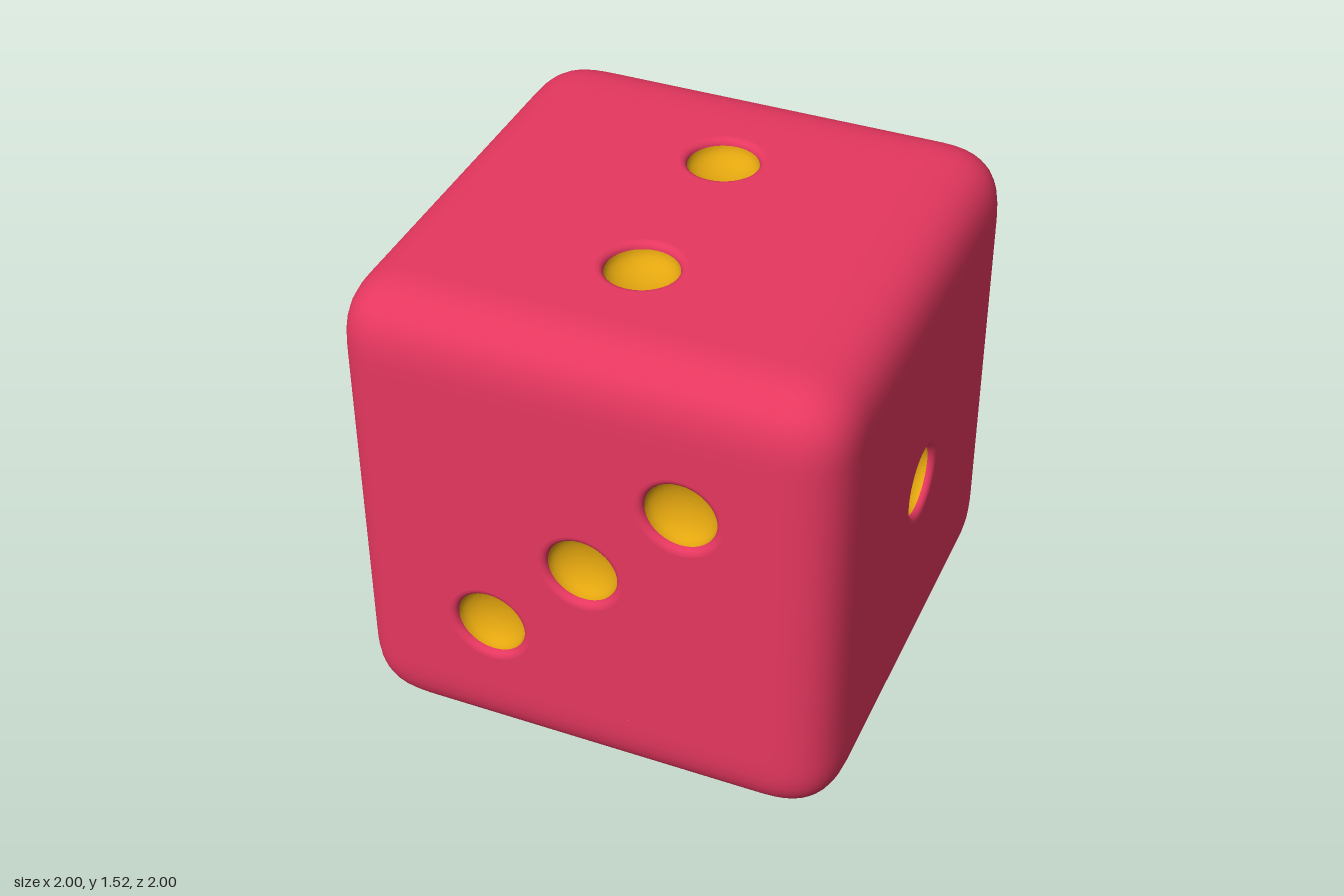
import * as THREE from 'three';

const HALF = 0.76;      // half the edge of the cube
const ROUND = 0.24;     // width of the soft edge
const POWER = 3;        // softness of the edge curve
const FLAT = HALF - ROUND;
const S = 0.3;          // pip spacing
const LIP = 0.13, PIP = 0.108, LIP_DEPTH = 0.02, PIP_DEPTH = 0.08;

const red = new THREE.MeshStandardMaterial({ color: 0xe6375f });
const gold = new THREE.MeshStandardMaterial({ color: 0xe3a60f });

// Rounded edges and corners, left open where the flat face panels sit
function softShell() {
  const g = new THREE.BoxGeometry(2 * HALF, 2 * HALF, 2 * HALF, 38, 38, 38);
  const pos = g.attributes.position, nor = g.attributes.normal;
  const index = [], src = g.index.array;
  const v = new THREE.Vector3();
  const isFlat = i => {
    v.fromBufferAttribute(pos, i);
    return [v.x, v.y, v.z].filter(c => Math.abs(c) > FLAT + 0.001).length < 2;
  };
  for (let i = 0; i < src.length; i += 3) {
    const tri = [src[i], src[i + 1], src[i + 2]];
    if (!tri.every(isFlat)) index.push(...tri);
  }
  for (let i = 0; i < pos.count; i++) {
    const p = [pos.getX(i), pos.getY(i), pos.getZ(i)];
    const inner = p.map(c => THREE.MathUtils.clamp(c, -FLAT, FLAT));
    const d = p.map((c, k) => c - inner[k]);
    const len = Math.pow(d.reduce((s, c) => s + Math.pow(Math.abs(c), POWER), 0), 1 / POWER);
    const q = d.map((c, k) => inner[k] + c * ROUND / len);
    pos.setXYZ(i, q[0], q[1], q[2]);
    v.set(...d.map(c => Math.sign(c) * Math.pow(Math.abs(c), POWER - 1))).normalize();
    nor.setXYZ(i, v.x, v.y, v.z);
  }
  g.setIndex(index);
  return g;
}

// Flat square with a round opening for every pip
function panelGeometry(pips) {
  const shape = new THREE.Shape();
  shape.moveTo(-FLAT, -FLAT).lineTo(FLAT, -FLAT).lineTo(FLAT, FLAT).lineTo(-FLAT, FLAT).closePath();
  for (const [x, y] of pips) {
    shape.holes.push(new THREE.Path().absarc(x, y, LIP, 0, Math.PI * 2, true));
  }
  return new THREE.ShapeGeometry(shape, 20);
}

// Rolled lip running down from the face to the pip
function lipGeometry() {
  const pts = [];
  for (let i = 0; i <= 5; i++) {
    const a = i / 5 * Math.PI / 2;
    pts.push(new THREE.Vector2(LIP - (LIP - PIP) * Math.sin(a), -LIP_DEPTH * (1 - Math.cos(a))));
  }
  return new THREE.LatheGeometry(pts, 40).rotateX(Math.PI / 2);
}

// Concave pip bowl
function bowlGeometry() {
  const pts = [];
  for (let i = 0; i <= 10; i++) {
    const a = i / 10 * Math.PI / 2;
    pts.push(new THREE.Vector2(PIP * Math.cos(a), -LIP_DEPTH - (PIP_DEPTH - LIP_DEPTH) * Math.sin(a)));
  }
  return new THREE.LatheGeometry(pts, 40).rotateX(Math.PI / 2);
}

function addMesh(parent, name, geometry, material) {
  const mesh = new THREE.Mesh(geometry, material);
  mesh.name = name;
  parent.add(mesh);
  return mesh;
}

export function createModel() {
  const model = new THREE.Group();
  model.name = 'die';
  addMesh(model, 'roundedEdges', softShell(), red);

  // Pip layouts and the turn that brings each face into place
  const four = [[-S, -S], [S, -S], [-S, S], [S, S]];
  const Q = Math.PI / 2;
  const faces = [
    { name: 'faceOne', turn: [0, Q], pips: [[0, 0]] },
    { name: 'faceTwo', turn: [-Q, 0], pips: [[0, -S], [0, S]] },
    { name: 'faceThree', turn: [0, 0], pips: [[-S, -S], [0, 0], [S, S]] },
    { name: 'faceFour', turn: [Q, 0], pips: four },
    { name: 'faceFive', turn: [0, 2 * Q], pips: [...four, [0, 0]] },
    { name: 'faceSix', turn: [0, -Q], pips: [...four, [-S, 0], [S, 0]] },
  ];
  const lip = lipGeometry(), bowl = bowlGeometry();
  for (const { name, turn, pips } of faces) {
    const face = new THREE.Group();
    face.name = name;
    face.rotation.set(turn[0], turn[1], 0);
    addMesh(face, 'panel', panelGeometry(pips), red).position.z = HALF;
    for (const [x, y] of pips) {
      addMesh(face, 'pipLip', lip, red).position.set(x, y, HALF);
      addMesh(face, 'pip', bowl, gold).position.set(x, y, HALF);
    }
    model.add(face);
  }

  // Stand on the ground, turned to show an edge
  model.position.y = HALF;
  model.rotation.y = THREE.MathUtils.degToRad(-40);
  const root = new THREE.Group();
  root.add(model);
  return root;
}
